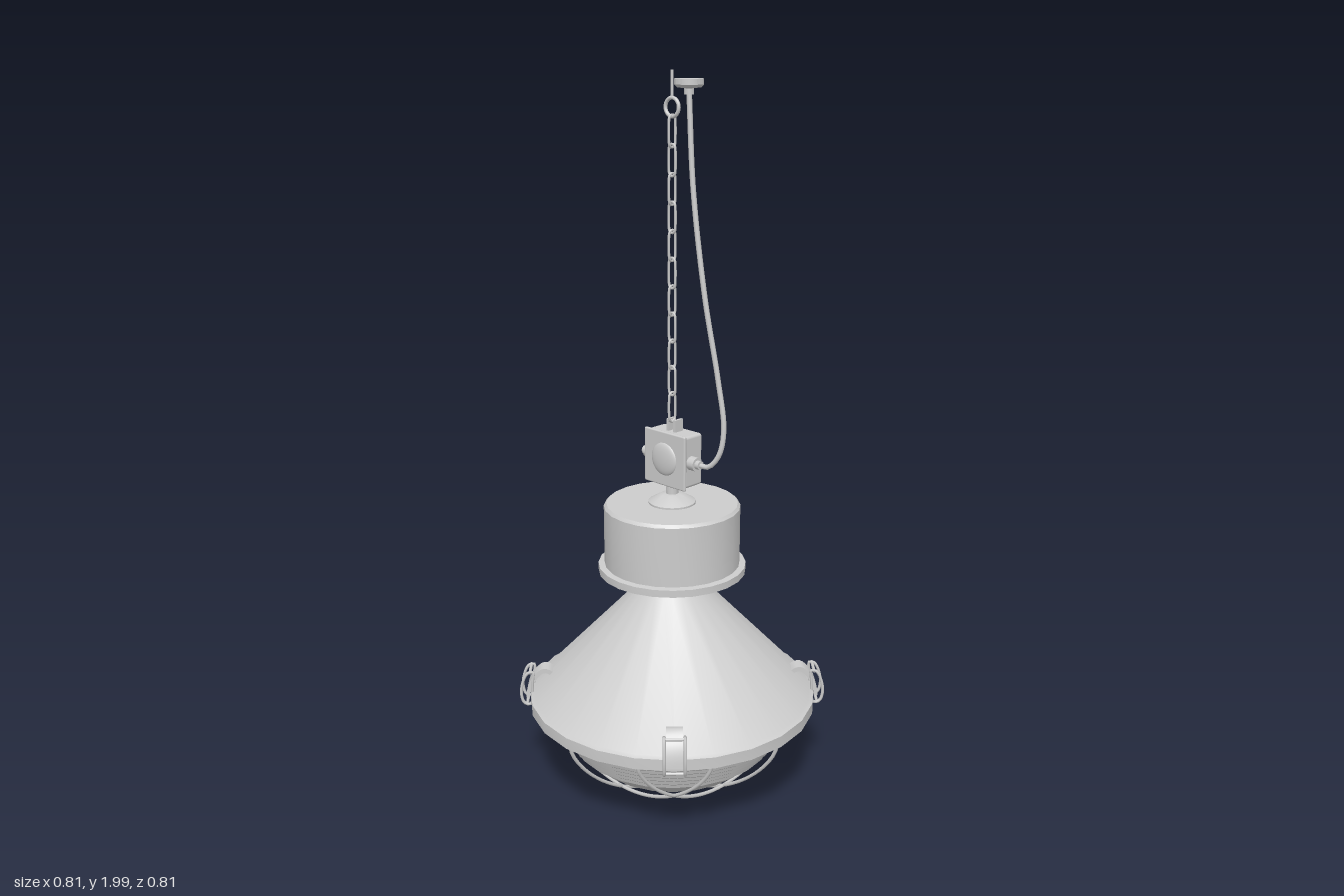
import * as THREE from 'three';
import { toCreasedNormals } from 'three/addons/utils/BufferGeometryUtils.js';
import { RoundedBoxGeometry } from 'three/addons/geometries/RoundedBoxGeometry.js';

const grey = new THREE.MeshStandardMaterial({ color: 0xcccccc, side: THREE.DoubleSide });
grey.name = 'light grey metal';

function add(parent, name, geometry, x = 0, y = 0, z = 0) {
  const mesh = new THREE.Mesh(geometry, grey);
  mesh.name = name;
  mesh.position.set(x, y, z);
  parent.add(mesh);
  return mesh;
}

// Turned part from [radius, height] pairs, listed bottom to top on the outside
function turned(profile, sides = 24) {
  const points = profile.map(([r, y]) => new THREE.Vector2(r, y));
  return toCreasedNormals(new THREE.LatheGeometry(points, sides), 0.4);
}

// Round wire through [x, y, z] points
function wire(points, radius, steps = 32, closed = false, sides = 8) {
  const curve = new THREE.CatmullRomCurve3(points.map((p) => new THREE.Vector3(...p)), closed);
  return new THREE.TubeGeometry(curve, steps, radius, sides, closed);
}

// Elongated chain link in the XY plane
function chainLink(halfWidth, halfHeight, radius) {
  const points = [];
  for (let i = 0; i < 16; i++) {
    const a = ((i + 0.5) / 16) * Math.PI * 2;
    const straight = Math.sign(Math.sin(a)) * (halfHeight - halfWidth);
    points.push([Math.cos(a) * halfWidth, Math.sin(a) * halfWidth + straight, 0]);
  }
  return wire(points, radius, 32, true, 6);
}

// Height of the wire guard at a distance from the axis
function guardHeight(r) {
  const t = Math.min(r / 0.392, 1);
  return 0.016 + 0.264 * (0.5 * t * t + 0.5 * (1 - Math.sqrt(1 - t * t)));
}

function makeLatch() {
  const latch = new THREE.Group();
  latch.name = 'latch';
  // Bent clamp plate hooked over the rim
  const s = new THREE.Shape();
  s.moveTo(0.335, 0.362);
  s.quadraticCurveTo(0.36, 0.385, 0.38, 0.365);
  s.quadraticCurveTo(0.412, 0.34, 0.415, 0.285);
  s.lineTo(0.405, 0.285);
  s.quadraticCurveTo(0.4, 0.33, 0.372, 0.355);
  s.quadraticCurveTo(0.36, 0.368, 0.342, 0.352);
  const plate = new THREE.ExtrudeGeometry(s, { depth: 0.044, bevelEnabled: false, curveSegments: 6 });
  plate.translate(0, 0, -0.022);
  add(latch, 'clampPlate', toCreasedNormals(plate, 0.5));
  // Side bails and their cross pins
  for (const side of [-1, 1]) {
    const z = side * 0.027;
    add(latch, 'sideBail', wire([[0.402, 0.268, z], [0.42, 0.272, z], [0.428, 0.31, z],
      [0.41, 0.362, z], [0.394, 0.366, z], [0.396, 0.33, z]], 0.0045, 28, true, 6));
  }
  for (const [r, y] of [[0.412, 0.27], [0.402, 0.364]]) {
    const pin = add(latch, 'crossPin', new THREE.CylinderGeometry(0.0045, 0.0045, 0.056, 8), r, y, 0);
    pin.rotation.x = Math.PI / 2;
  }
  return latch;
}

export function createModel() {
  const lamp = new THREE.Group();
  lamp.name = 'pendantLamp';

  // Conical shade with rim and neck
  add(lamp, 'shade', turned([[0.37, 0.272], [0.404, 0.272], [0.404, 0.304], [0.392, 0.31],
    [0.095, 0.622], [0.095, 0.69]]));

  // Ballast housing with stepped underside and flange
  add(lamp, 'housing', turned([[0.09, 0.7], [0.125, 0.7], [0.125, 0.69], [0.155, 0.69], [0.155, 0.68],
    [0.18, 0.68], [0.18, 0.67], [0.204, 0.67], [0.204, 0.69], [0.187, 0.692], [0.187, 0.857],
    [0.18, 0.865], [0, 0.865]]));
  const slot = add(lamp, 'housingSlot', new THREE.BoxGeometry(0.008, 0.045, 0.006), -0.163, 0.795, 0.09);
  slot.rotation.y = -1.06;

  // Mounting cone and stem
  add(lamp, 'mountingCone', turned([[0.065, 0.865], [0.065, 0.87], [0.03, 0.89], [0.017, 0.892],
    [0.017, 0.925], [0, 0.925]]));

  // Ribbed glass bowl
  const bowl = [[0, 0.026], [0.06, 0.031], [0.12, 0.046], [0.18, 0.073], [0.23, 0.103], [0.27, 0.14]];
  for (let i = 0; i < 7; i++) {
    const r = 0.286 + i * 0.0125, y = 0.15 + i * 0.0175;
    bowl.push([r, y], [r + 0.004, y + 0.011]);
  }
  bowl.push([0.372, 0.274]);
  add(lamp, 'glassBowl', turned(bowl));

  // Wire guard: three wires each way
  const guard = new THREE.Group();
  guard.name = 'wireGuard';
  lamp.add(guard);
  for (const turn of [0, Math.PI / 2]) {
    for (const offset of [-0.2, 0, 0.2]) {
      const half = Math.sqrt(0.392 ** 2 - offset ** 2);
      const points = [];
      for (let i = 0; i <= 16; i++) {
        const u = half * Math.sin((i / 8 - 1) * Math.PI / 2);
        points.push([offset, guardHeight(Math.hypot(u, offset)), u]);
      }
      add(guard, 'guardWire', wire(points, 0.005, 40, false, 6)).rotation.y = turn;
    }
  }
  const guardRing = add(guard, 'guardRing', new THREE.TorusGeometry(0.392, 0.006, 6, 48), 0, 0.276, 0);
  guardRing.rotation.x = Math.PI / 2;

  // Four rim latches
  for (let i = 0; i < 4; i++) {
    const latch = makeLatch();
    latch.rotation.y = Math.PI / 4 + i * Math.PI / 2;
    lamp.add(latch);
  }

  // Junction box with lid, domed centre, glands and lug
  const box = new THREE.Group();
  box.name = 'junctionBox';
  lamp.add(box);
  add(box, 'boxBody', new RoundedBoxGeometry(0.14, 0.144, 0.07, 2, 0.008), 0, 0.995, -0.01);
  add(box, 'boxLid', new RoundedBoxGeometry(0.15, 0.152, 0.01, 2, 0.004), 0, 0.995, 0.026);
  const dome = add(box, 'lidDome', new THREE.SphereGeometry(0.046, 24, 8, 0, Math.PI * 2, 0, Math.PI / 2), 0, 0.995, 0.03);
  dome.rotation.x = Math.PI / 2;
  dome.scale.y = 0.25;
  for (const side of [-1, 1]) {
    for (const [name, r, length, x] of [['glandNut', 0.019, 0.024, 0.081], ['glandCap', 0.012, 0.014, 0.098]]) {
      add(box, name, new THREE.CylinderGeometry(r, r, length, 12), side * x, 0.993, 0).rotation.z = Math.PI / 2;
    }
  }
  for (const side of [-1, 1]) {
    add(box, 'lugCheek', new THREE.BoxGeometry(0.008, 0.034, 0.03), side * 0.013, 1.083, -0.01);
  }
  const lugPin = add(box, 'lugPin', new THREE.CylinderGeometry(0.005, 0.005, 0.034, 8), 0, 1.095, 0);
  lugPin.rotation.z = Math.PI / 2;

  // Chain of alternately turned links
  const chain = new THREE.Group();
  chain.name = 'chain';
  lamp.add(chain);
  const linkGeometry = chainLink(0.011, 0.04, 0.0035);
  for (let i = 0; i < 11; i++) {
    const link = add(chain, 'chainLink', linkGeometry, 0, 1.135 + i * 0.0717, 0);
    link.rotation.y = i % 2 ? 0 : Math.PI / 2;
  }

  // Ceiling eye hook
  add(lamp, 'eyeRing', new THREE.TorusGeometry(0.023, 0.005, 8, 24), 0, 1.91, 0);
  add(lamp, 'eyeStem', new THREE.CylinderGeometry(0.004, 0.004, 0.068, 8), 0, 1.966, 0);

  // Ceiling cap and hanging cable
  add(lamp, 'ceilingCap', turned([[0, 1.942], [0.012, 1.942], [0.012, 1.957], [0.03, 1.959],
    [0.037, 1.966], [0.037, 1.98], [0, 1.98]]), 0.058, 0, 0);
  add(lamp, 'cable', wire([[0.058, 1.95, 0], [0.074, 1.71, 0], [0.111, 1.445, -0.005], [0.148, 1.23, -0.018],
    [0.168, 1.1, -0.02], [0.159, 1.03, -0.012], [0.13, 0.994, -0.004], [0.095, 0.993, 0]], 0.007, 64));

  return lamp;
}
